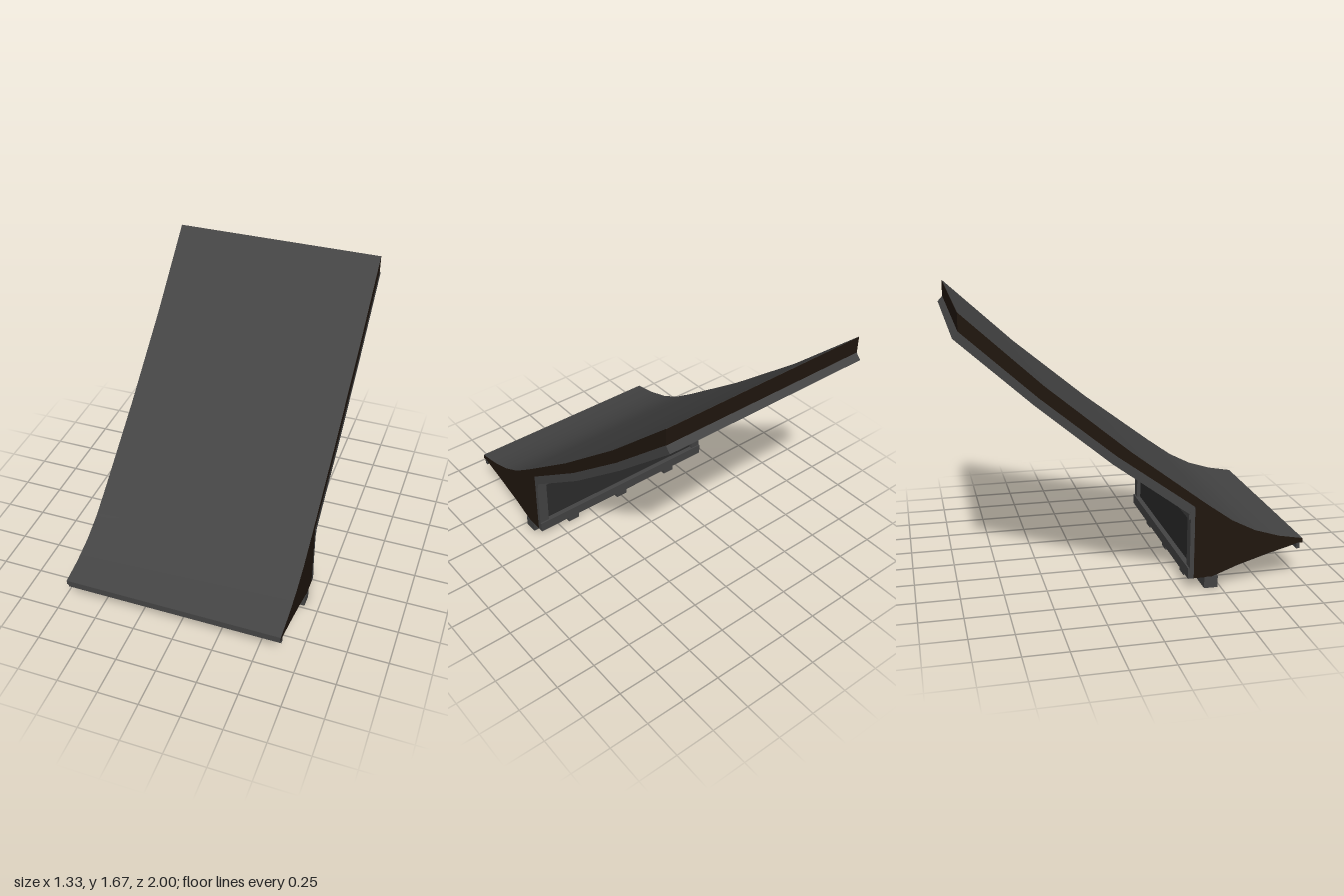
import * as THREE from 'three';
import { toCreasedNormals } from 'three/addons/utils/BufferGeometryUtils.js';

const HALF = 0.664;
const mat = (color) => new THREE.MeshStandardMaterial({ color });
const deckGrey = mat(0x444444), sideBrown = mat(0x20160e), underGrey = mat(0x2c2c2c), frameGrey = mat(0x444444);

// Side profile of [z, y] points, extruded between x0 and x1
function slab(name, points, x0, x1, material) {
  const shape = new THREE.Shape(points.map(([z, y]) => new THREE.Vector2(z, y)));
  const geo = new THREE.ExtrudeGeometry(shape, { depth: x1 - x0, bevelEnabled: false });
  geo.rotateY(-Math.PI / 2).translate(x1, 0, 0);
  const mesh = new THREE.Mesh(toCreasedNormals(geo, 0.35), material);
  mesh.name = name;
  return mesh;
}

function box(name, x0, x1, y0, y1, z0, z1, material) {
  const mesh = new THREE.Mesh(new THREE.BoxGeometry(x1 - x0, y1 - y0, z1 - z0), material);
  mesh.position.set((x0 + x1) / 2, (y0 + y1) / 2, (z0 + z1) / 2);
  mesh.name = name;
  return mesh;
}

export function createModel() {
  const model = new THREE.Group();
  model.name = 'ramp';

  const top = [[1, 0.262], [0.85, 0.29], [0.7, 0.338], [0.56, 0.41], [0.4, 0.525],
    [-0.04, 0.86], [-0.52, 1.26], [-0.963, 1.67]];
  const under = [[-0.963, 1.57], [-0.55, 1.195], [-0.12, 0.84], [0.335, 0.51]];
  const belly = [[0.335, 0.07], [0.44, 0.07], [0.6, 0.13], [0.8, 0.19], [0.97, 0.235], [1, 0.235]];

  // Body: brown cheeks, grey deck
  model.add(slab('body', [...top, ...under, ...belly], -HALF, HALF, [sideBrown, deckGrey]));
  model.add(box('topEdge', -HALF, HALF, 1.57, 1.668, -0.965, -0.961, sideBrown));

  // Dark skins under the deck and the belly
  const skin = (name, pts, dz, dy) => {
    const off = pts.map(([z, y]) => [z + dz, y + dy]).reverse();
    model.add(slab(name, [...pts, ...off], -HALF + 0.002, HALF - 0.002, underGrey));
  };
  skin('deckUnderside', under, -0.002, -0.003);
  skin('bellySkin', belly.slice(1, 5), 0, -0.003);
  skin('backPanel', [[0.335, 0.5], [0.335, 0.07]], -0.003, 0);

  // Frame under the deck: two side rails and four cross bars
  const low = [[-0.995, 1.535], [-0.58, 1.16], [-0.15, 0.8], [0.3, 0.47]];
  for (const s of [-1, 1]) {
    const [a, b] = s < 0 ? [-HALF, -HALF + 0.065] : [HALF - 0.065, HALF];
    model.add(slab('deckSideRail', [...under, ...[...low].reverse()], a, b, frameGrey));
    model.add(box('backPost', a, b, 0.07, 0.5, 0.31, 0.336, frameGrey));
  }
  const barSpan = [[0, 0.1], [0.93, 1.07], [1.93, 2.07], [2.9, 3]];
  const along = (pts, t) => {
    const i = Math.min(2, Math.floor(t)), f = t - i;
    return [0, 1].map((k) => pts[i][k] * (1 - f) + pts[i + 1][k] * f);
  };
  for (const [t0, t1] of barSpan) {
    const quad = [along(under, t0), along(under, t1), along(low, t1), along(low, t0)];
    model.add(slab('deckCrossBar', quad, -HALF + 0.064, HALF - 0.064, frameGrey));
  }

  // Horizontal bars on the back wall
  model.add(box('backUpperBar', -HALF, HALF, 0.435, 0.475, 0.3, 0.336, frameGrey));
  model.add(box('backLowerBar', -HALF, HALF, 0.07, 0.135, 0.3, 0.336, frameGrey));

  // Drip strip beneath the front lip
  model.add(box('lipStrip', -HALF, HALF, 0.2, 0.24, 0.963, 0.983, frameGrey));

  // Base bar with feet behind it and brackets in front
  model.add(box('baseBar', -HALF, HALF, 0.001, 0.072, 0.4, 0.482, frameGrey));
  const bracket = [[0.44, 0.08], [0.44, 0.01], [0.48, 0.015], [0.56, 0.05], [0.77, 0.115], [0.8, 0.145],
    [0.84, 0.155], [0.862, 0.18], [0.862, 0.215], [0.8, 0.195], [0.6, 0.135]];
  for (const x of [-0.412, -0.005, 0.392]) {
    model.add(box('foot', x - 0.04, x + 0.04, 0, 0.072, 0.336, 0.484, frameGrey));
    model.add(slab('bracket', bracket, x - 0.033, x + 0.033, frameGrey));
  }
  return model;
}
